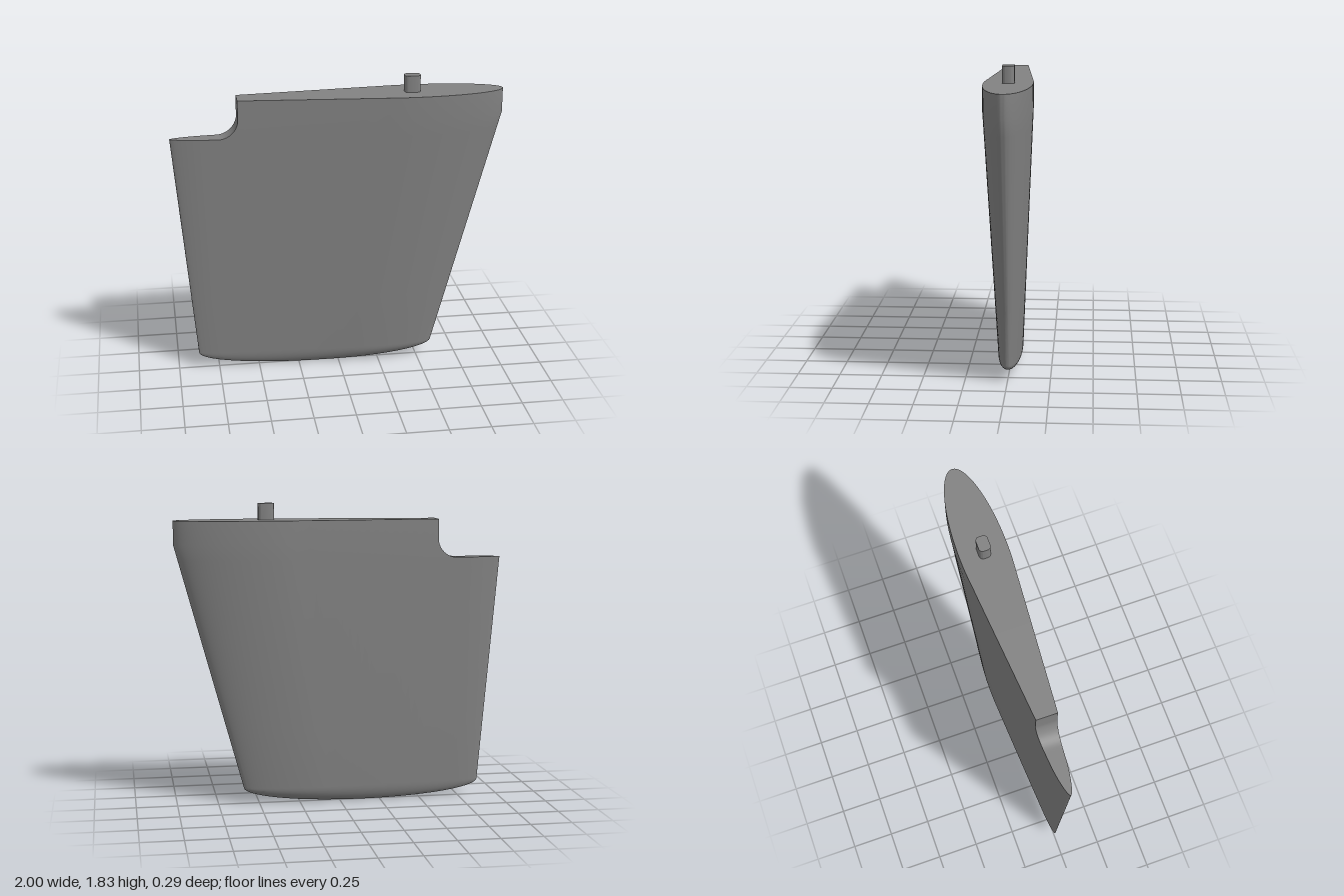
import * as THREE from 'three';
import { toCreasedNormals } from 'three/addons/utils/BufferGeometryUtils.js';

const TOP = 1.735, SHELF = 1.5, KNEE = 1.59, ROUND = 0.1;
const NOTCH = 0.2, FILLET = 0.0575; // chord fractions
const { lerp, clamp } = THREE.MathUtils;

// Trailing and leading edges at height y
const trailing = (y) => lerp(-0.875, -1, clamp((y - ROUND) / (SHELF - ROUND), 0, 1));
const leading = (y) => lerp(0.595, 1, clamp((y - ROUND) / (KNEE - ROUND), 0, 1));
const taper = (y) => lerp(0.073, 0.143, clamp((y - ROUND) / (KNEE - ROUND), 0, 1));

// Half thickness of the foil, 0 to 1, at chord fraction u
function foil(u) {
  const nose = Math.sqrt(Math.max(0, 1 - ((u - 0.73) / 0.27) ** 2));
  const line = (0.032 + 0.16 * u) / 0.143;
  const tail = u < 0.1 ? Math.sqrt(1 - (1 - u / 0.1) ** 2) : 1;
  return u < 0.6 ? line * tail : Math.min(line, nose);
}

// Closed section of the blade along one chord fraction
function section(u, top) {
  const f = foil(u), half = [];
  for (const level of [TOP, KNEE, SHELF, 1.15, 0.8, 0.45, ROUND]) {
    const y = Math.min(level, top);
    half.push([lerp(trailing(y), leading(y), u), y, f * taper(y)]);
  }
  // Rounded tip, deepest at mid-chord
  const x = lerp(trailing(ROUND), leading(ROUND), u);
  const depth = ROUND * Math.sqrt(Math.max(0, 1 - (2 * u - 1) ** 2));
  for (let k = 1; k <= 8; k++) {
    const a = (k / 8) * Math.PI / 2;
    half.push([x, ROUND - depth * Math.sin(a), k === 8 ? 0 : f * taper(ROUND) * Math.cos(a)]);
  }
  const back = half.slice(0, -1).reverse().map(([px, py, pz]) => [px, py, -pz]);
  return [...half, ...back].map((p) => new THREE.Vector3(...p));
}

function bladeGeometry() {
  const rings = [];
  // Low shelf at the trailing edge
  const shelfEnd = NOTCH - FILLET;
  for (let i = 0; i <= 20; i++) rings.push(section(shelfEnd * (i / 20) ** 2, SHELF));
  // Concave fillet rising to the notch wall
  for (let i = 1; i <= 10; i++) {
    const a = (i / 10) * Math.PI / 2;
    rings.push(section(shelfEnd + FILLET * Math.sin(a), SHELF + 2 * FILLET * (1 - Math.cos(a))));
  }
  // Full-height body to the leading edge
  for (let i = 0; i <= 48; i++) {
    rings.push(section(NOTCH + (1 - NOTCH) * (1 - (1 - i / 48) ** 2), TOP));
  }

  const positions = [];
  const tri = new THREE.Triangle();
  const addFace = (a, b, c) => {
    if (tri.set(a, b, c).getArea() > 1e-9) for (const p of [a, b, c]) positions.push(p.x, p.y, p.z);
  };
  for (let i = 0; i < rings.length - 1; i++) {
    const r = rings[i], s = rings[i + 1], n = r.length;
    for (let j = 0; j < n; j++) {
      const k = (j + 1) % n;
      addFace(r[j], r[k], s[j]);
      addFace(s[j], r[k], s[k]);
    }
  }
  const g = new THREE.BufferGeometry();
  g.setAttribute('position', new THREE.Float32BufferAttribute(positions, 3));
  return toCreasedNormals(g, 0.6);
}

// Upright post with rounded corners
function postGeometry(w, d, h, r) {
  const s = new THREE.Shape();
  const x = w / 2, y = d / 2;
  s.moveTo(-x + r, -y);
  s.absarc(x - r, -y + r, r, -Math.PI / 2, 0);
  s.absarc(x - r, y - r, r, 0, Math.PI / 2);
  s.absarc(-x + r, y - r, r, Math.PI / 2, Math.PI);
  s.absarc(-x + r, -y + r, r, Math.PI, Math.PI * 1.5);
  const g = new THREE.ExtrudeGeometry(s, { depth: h, bevelEnabled: false, curveSegments: 6 });
  return toCreasedNormals(g.rotateX(-Math.PI / 2), 0.6);
}

export function createModel() {
  const group = new THREE.Group();
  group.name = 'rudder';
  const material = new THREE.MeshStandardMaterial({ color: 0x828282 });

  const blade = new THREE.Mesh(bladeGeometry(), material);
  blade.name = 'blade';

  const post = new THREE.Mesh(postGeometry(0.095, 0.07, 0.12, 0.024), material);
  post.name = 'pivotPost';
  post.position.set(0.447, TOP - 0.02, 0);

  group.add(blade, post);
  return group;
}
